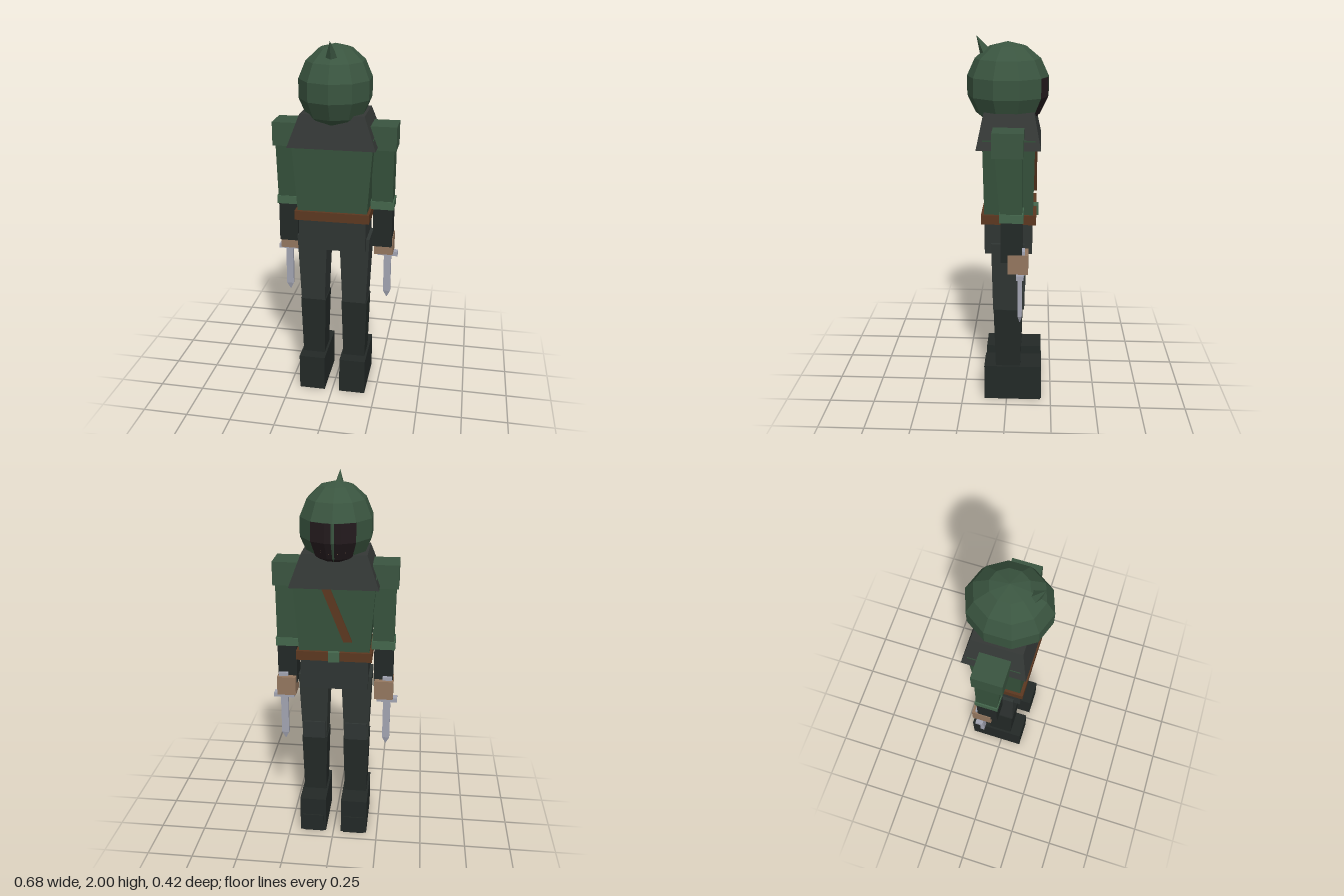
import * as THREE from 'three';

const mat = (color) => new THREE.MeshStandardMaterial({ color, flatShading: true });
const M = {
  hood: mat(0x3a5540), tunic: mat(0x36523c), trim: mat(0x44664c), cowl: mat(0x343836),
  trousers: mat(0x2f3533), boot: mat(0x232927), leather: mat(0x5c3820),
  skin: mat(0x94775f), metal: mat(0xa2a4b2), mask: mat(0x231a1d),
};

function add(parent, name, geometry, material) {
  const mesh = new THREE.Mesh(geometry, material);
  mesh.name = name;
  parent.add(mesh);
  return mesh;
}

// Block between y0 and y1; each end is a rectangle [x0, x1, z0, z1]
function block(parent, name, material, y0, y1, low, high = low) {
  const g = new THREE.BoxGeometry(1, 1, 1);
  const p = g.attributes.position;
  for (let i = 0; i < p.count; i++) {
    const top = p.getY(i) > 0;
    const r = top ? high : low;
    p.setXYZ(i, r[p.getX(i) > 0 ? 1 : 0], top ? y1 : y0, r[p.getZ(i) > 0 ? 3 : 2]);
  }
  g.computeVertexNormals();
  return add(parent, name, g, material);
}

const HEAD = { y: 1.75, rx: 0.195, ry: 0.22, rz: 0.215 };

function buildHead() {
  const head = new THREE.Group();
  head.name = 'head';
  const step = Math.PI / 7;
  const side = Math.PI / 5;

  const hood = add(head, 'hood', new THREE.SphereGeometry(1, 10, 7, Math.PI / 2), M.hood);
  hood.scale.set(HEAD.rx, HEAD.ry, HEAD.rz);
  hood.position.y = HEAD.y;

  // Face covering lies over the two facets facing -z
  const mask = add(head, 'faceMask',
    new THREE.SphereGeometry(1.008, 2, 3, Math.PI * 1.5 - side, side * 2, step * 3, step * 3), M.mask);
  mask.scale.copy(hood.scale);
  mask.position.copy(hood.position);

  // Slanted eye openings on the lower facets
  for (const s of [-1, 1]) {
    const pts = [[0.018, 1.64], [0.062, 1.645], [0.066, 1.678]].map(([x, y]) => {
      const t = (1.7 - y) / 0.088;
      return new THREE.Vector3(s * x, y, -(0.21 - 0.042 * t) + x * 0.352 - 0.006);
    });
    if (s < 0) pts.reverse();
    const g = new THREE.BufferGeometry().setFromPoints(pts);
    g.computeVertexNormals();
    const eye = add(head, s > 0 ? 'leftEye' : 'rightEye', g, M.skin.clone());
    eye.material.side = THREE.DoubleSide;
  }

  // Pointed tip of the hood, leaning to +z
  const tip = add(head, 'hoodTip', new THREE.ConeGeometry(0.042, 0.13, 5), M.hood);
  tip.rotation.set(0.5, 0, 0);
  tip.position.set(0, 1.943, 0.128);
  return head;
}

function buildTorso() {
  const torso = new THREE.Group();
  torso.name = 'torso';
  block(torso, 'hips', M.trousers, 0.89, 1.07, [-0.18, 0.18, -0.135, 0.115]);
  block(torso, 'tunic', M.tunic, 1.1, 1.51, [-0.185, 0.185, -0.138, 0.115], [-0.215, 0.215, -0.145, 0.12]);
  block(torso, 'belt', M.leather, 1.06, 1.11, [-0.2, 0.2, -0.155, 0.132]);
  block(torso, 'buckle', M.trim, 1.058, 1.112, [-0.03, 0.03, -0.166, -0.14]);
  block(torso, 'cowl', M.cowl, 1.46, 1.63, [-0.23, 0.23, -0.175, 0.152], [-0.167, 0.167, -0.14, 0.117]);
  // Diagonal chest strap
  block(torso, 'chestStrap', M.leather, 1.17, 1.5, [-0.095, -0.05, -0.156, -0.13], [0.035, 0.08, -0.156, -0.13]);
  return torso;
}

function buildLeg(s, label) {
  const leg = new THREE.Group();
  leg.name = label + 'Leg';
  const rect = (x0, x1, z0, z1) => (s > 0 ? [x0, x1, z0, z1] : [-x1, -x0, z0, z1]);
  block(leg, 'boot', M.boot, 0, 0.21, rect(0.043, 0.19, -0.19, 0.125));
  block(leg, 'toeCap', M.boot, 0, 0.105, rect(0.058, 0.175, -0.196, -0.17));
  block(leg, 'shin', M.boot, 0.2, 0.56, rect(0.055, 0.178, -0.076, 0.06), rect(0.045, 0.187, -0.085, 0.07));
  block(leg, 'thigh', M.trousers, 0.56, 0.95, rect(0.05, 0.182, -0.083, 0.073), rect(0.034, 0.198, -0.096, 0.08));
  block(leg, 'kneePad', M.trousers, 0.56, 0.66, rect(0.056, 0.176, -0.096, -0.07));
  return leg;
}

function buildArm(s, label) {
  const arm = new THREE.Group();
  arm.name = label + 'Arm';
  const rect = (x0, x1, z0, z1) => (s > 0 ? [x0, x1, z0, z1] : [-x1, -x0, z0, z1]);
  block(arm, 'shoulderPad', M.hood, 1.445, 1.57, rect(0.191, 0.326, -0.09, 0.067));
  block(arm, 'upperArm', M.tunic, 1.11, 1.5, rect(0.2, 0.311, -0.085, 0.025), rect(0.2, 0.314, -0.08, 0.055));
  block(arm, 'cuff', M.trim, 1.11, 1.155, rect(0.194, 0.318, -0.091, 0.032));
  block(arm, 'forearm', M.boot, 0.892, 1.112, rect(0.208, 0.311, -0.085, 0.024));
  block(arm, 'hand', M.skin, 0.83, 0.935, rect(0.213, 0.315, -0.117, -0.012));

  // Dagger held point down
  const dagger = new THREE.Group();
  dagger.name = 'dagger';
  const c = 0.282;
  block(dagger, 'grip', M.metal, 0.82, 0.955, rect(c - 0.025, c + 0.025, -0.1, -0.065));
  block(dagger, 'guard', M.metal, 0.805, 0.83, rect(c - 0.056, c + 0.056, -0.095, -0.055));
  block(dagger, 'blade', M.metal, 0.58, 0.81, rect(c - 0.02, c + 0.02, -0.086, -0.064));
  block(dagger, 'bladeTip', M.metal, 0.54, 0.58, rect(c - 0.001, c + 0.001, -0.077, -0.073),
    rect(c - 0.02, c + 0.02, -0.086, -0.064));
  arm.add(dagger);
  return arm;
}

export function createModel() {
  const model = new THREE.Group();
  model.name = 'hoodedFighter';
  model.add(buildHead(), buildTorso());
  for (const [s, label] of [[1, 'left'], [-1, 'right']]) {
    model.add(buildLeg(s, label), buildArm(s, label));
  }
  return model;
}
